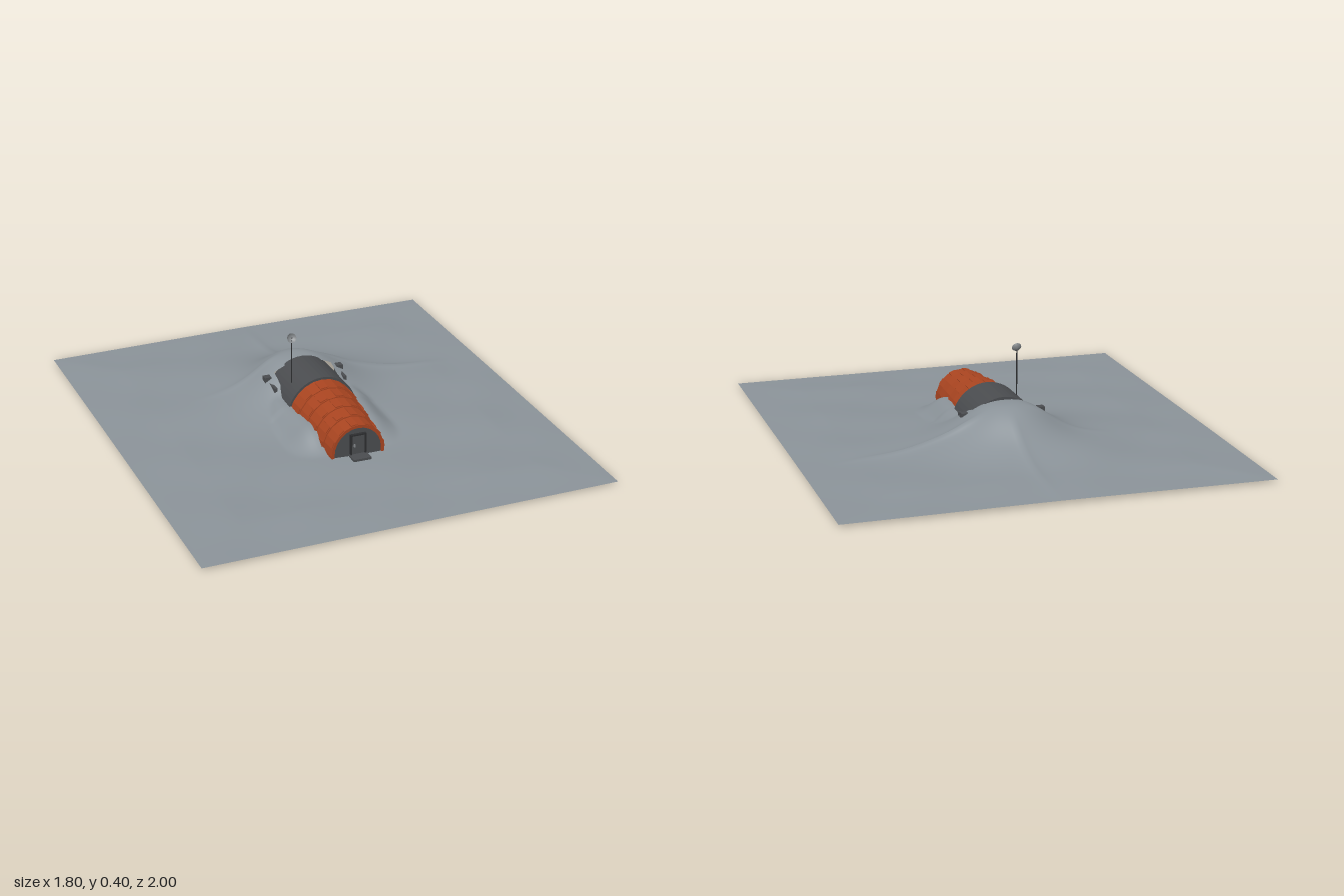
import * as THREE from 'three';

const mat = (name, color, side = THREE.FrontSide) => {
  const m = new THREE.MeshStandardMaterial({ color, side });
  m.name = name;
  return m;
};

// half width of the building along its length (front z = 0.41, rear z = -0.21)
const halfWidth = (z) => (z < 0.02 ? 0.158 : THREE.MathUtils.lerp(0.152, 0.116, (z - 0.02) / 0.39));
const smooth = THREE.MathUtils.smoothstep;

// height of the ground: mound behind, banks beside the building, sharp ridges
function groundHeight(x, z) {
  const edge = Math.min(1, (0.9 - Math.abs(x)) / 0.25, (1 - Math.abs(z)) / 0.25);
  const r = Math.hypot(x, z + 0.25);
  const mound = 0.19 / (1 + Math.pow(r / 0.22, 2.8));
  const along = 0.085 * (1 - smooth(z, 0.2, 0.42)) * smooth(z, -0.4, -0.1);
  const off = Math.max(0, Math.abs(x) - halfWidth(z)) / 0.09;
  const bank = along * Math.exp(-off * off);
  const spine = (d, t) => Math.exp(-Math.abs(d) / 0.025) * smooth(t, 0.08, 0.22) * (1 - smooth(t, 0.3, 0.8));
  const ridges = 0.018 * spine(z + 0.3, x) + 0.01 * spine(z + 0.3, -x * 1.6) + 0.01 * spine(x - 0.015, -z - 0.25);
  const ripple = 0.0025 * (Math.sin(9 * x + 5 * z) + Math.sin(13 * z - 6 * x + 1) + Math.sin(17 * x + 11 * z));
  return 0.008 + Math.max(mound, bank) + ridges + edge * (0.007 + ripple);
}

function terrainGeometry() {
  const nx = 108, nz = 120;
  const g = new THREE.PlaneGeometry(1.8, 2, nx, nz).rotateX(-Math.PI / 2);
  const p = g.attributes.position;
  for (let i = 0; i < p.count; i++) p.setY(i, groundHeight(p.getX(i), p.getZ(i)));
  // leave the ground open beneath the building
  const keep = [];
  const src = g.index.array;
  for (let i = 0; i < src.length; i += 6) {
    const q = [...src.slice(i, i + 6)];
    const cx = q.reduce((s, k) => s + p.getX(k), 0) / 6;
    const cz = q.reduce((s, k) => s + p.getZ(k), 0) / 6;
    if (cz > -0.2 && cz < 0.4 && Math.abs(cx) < halfWidth(cz) - 0.022) continue;
    keep.push(...q);
  }
  g.setIndex(keep);
  g.computeVertexNormals();
  return g;
}

// points of an arch, from the model's left foot over the top to the right foot
const AXIS = 0.04, FOOT = 0.015;
function archPoints(rx, ry, n) {
  const pts = [new THREE.Vector2(rx, FOOT)];
  for (let i = 0; i <= n; i++) {
    const a = (Math.PI * i) / n;
    pts.push(new THREE.Vector2(rx * Math.cos(a), AXIS + ry * Math.sin(a)));
  }
  pts.push(new THREE.Vector2(-rx, FOOT));
  return pts;
}

// arched shell from z0 (rear) to z1 (front); the front end is scaled by taper
function archShell(rx, ry, thick, z0, z1, taper, n) {
  const outer = archPoints(rx, ry, n);
  const inner = archPoints(rx - thick, ry - thick, n).reverse();
  const g = new THREE.ExtrudeGeometry(new THREE.Shape([...outer, ...inner]), { depth: z1 - z0, bevelEnabled: false });
  const p = g.attributes.position;
  for (let i = 0; i < p.count; i++) {
    const s = THREE.MathUtils.lerp(1, taper, p.getZ(i) / (z1 - z0));
    p.setXY(i, p.getX(i) * s, AXIS + (p.getY(i) - AXIS) * s);
  }
  g.translate(0, 0, z0);
  g.computeVertexNormals();
  return g;
}

function archWall(rx, ry, depth, n) {
  return new THREE.ExtrudeGeometry(new THREE.Shape(archPoints(rx, ry, n)), { depth, bevelEnabled: false });
}

export function createModel() {
  const group = new THREE.Group();
  const rock = mat('rock grey', 0x8a9298, THREE.DoubleSide);
  const orange = mat('rust orange', 0xa84420);
  const dark = mat('dark grey', 0x4a4c4f);
  const steel = mat('steel grey', 0x85898c, THREE.DoubleSide);
  const trim = mat('black trim', 0x2c2d2f);

  const add = (name, geo, material, x = 0, y = 0, z = 0, parent = group) => {
    const m = new THREE.Mesh(geo, material);
    m.name = name;
    m.position.set(x, y, z);
    parent.add(m);
    return m;
  };
  const box = (name, w, h, d, material, x, y, z, parent) =>
    add(name, new THREE.BoxGeometry(w, h, d), material, x, y, z, parent);

  add('terrain', terrainGeometry(), rock);

  // stepped orange rings, growing towards the rear
  const tunnel = new THREE.Group();
  tunnel.name = 'tunnel';
  group.add(tunnel);
  const rings = 5, len = 0.39 / rings;
  for (let i = 0; i < rings; i++) {
    const t = (i + 1) / rings;
    const z1 = 0.41 - i * len;
    const rx = THREE.MathUtils.lerp(0.114, 0.152, t);
    const ry = THREE.MathUtils.lerp(0.119, 0.16, t);
    add('tunnelRing', archShell(rx, ry, 0.013, z1 - len, z1, 0.975, 12), orange, 0, 0, 0, tunnel);
    // raised panels on alternate facets
    for (let k = i % 2; k < 12; k += 2) {
      const a = (Math.PI * (k + 0.5)) / 12;
      const c = Math.cos(Math.PI / 24) * 0.985;
      const panel = box('tunnelPanel', 0.006, rx * 0.24, len * 0.9, orange,
        rx * c * Math.cos(a), AXIS + ry * c * Math.sin(a), z1 - len / 2, tunnel);
      panel.rotation.z = a;
    }
  }

  // dark rear hull with its end wall and side buttresses
  add('rearHull', archShell(0.16, 0.17, 0.015, -0.215, 0.02, 1, 24), dark);
  add('rearWall', archWall(0.15, 0.16, 0.01, 24), steel, 0, 0, -0.21);
  for (const s of [-1, 1]) {
    box('buttress', 0.03, 0.09, 0.03, dark, s * 0.168, 0.105, -0.195);
    box('buttressFoot', 0.014, 0.06, 0.09, dark, s * 0.162, 0.1, -0.15);
  }

  // floor, wider at the rear
  const floor = new THREE.BoxGeometry(1, 0.01, 0.59);
  const fp = floor.attributes.position;
  for (let i = 0; i < fp.count; i++) fp.setX(i, fp.getX(i) * (fp.getZ(i) > 0 ? 0.18 : 0.28));
  add('floor', floor, steel, 0, 0.005, 0.1);

  // front wall with door, frame and step
  add('frontWall', archWall(0.107, 0.11, 0.012, 16), dark, 0, 0, 0.392);
  box('door', 0.058, 0.08, 0.008, dark, 0, 0.077, 0.408);
  for (const s of [-1, 1]) box('doorPost', 0.006, 0.086, 0.014, trim, s * 0.032, 0.077, 0.41);
  box('doorLintel', 0.07, 0.006, 0.014, trim, 0, 0.122, 0.41);
  box('doorHandle', 0.006, 0.012, 0.006, steel, -0.018, 0.074, 0.415);
  box('doorStep', 0.08, 0.03, 0.05, dark, 0, 0.018, 0.435);
  box('doorFooting', 0.14, 0.01, 0.05, dark, 0, 0.005, 0.405);

  // antenna mast and tilted dish
  add('mast', new THREE.CylinderGeometry(0.0025, 0.0025, 0.22, 8), trim, -0.105, 0.255, -0.065);
  const dish = add('dish', new THREE.LatheGeometry(
    [[0, -0.007], [0.009, -0.005], [0.016, -0.001], [0.021, 0.005]].map(([x, y]) => new THREE.Vector2(x, y)), 16),
    steel, -0.105, 0.376, -0.066);
  dish.rotation.x = 1.15;
  const feed = add('dishFeed', new THREE.CylinderGeometry(0.0015, 0.0015, 0.016, 6), trim, -0.105, 0.378, -0.062);
  feed.rotation.x = 1.15;

  return group;
}
